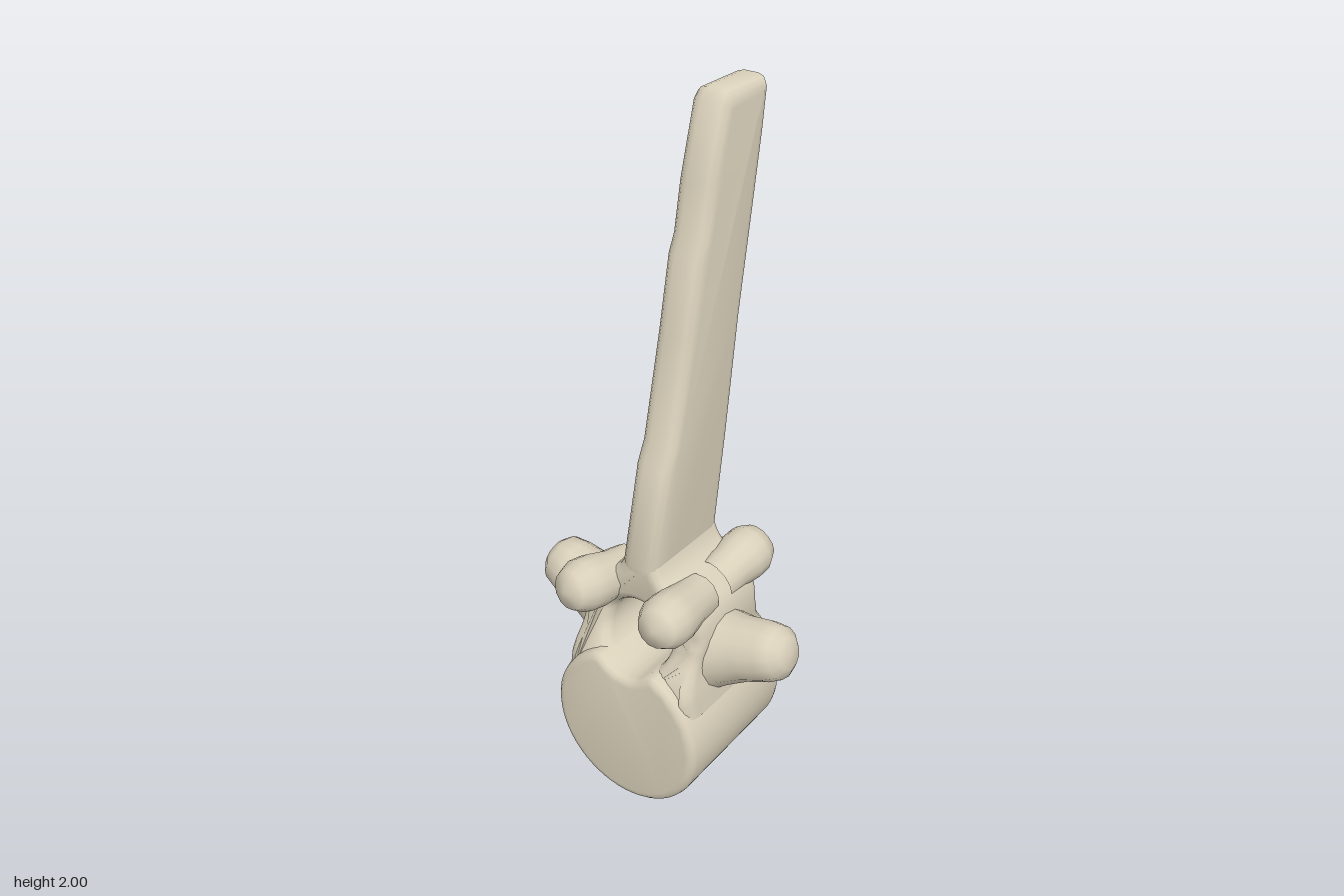
import * as THREE from 'three';
import { toCreasedNormals } from 'three/addons/utils/BufferGeometryUtils.js';

const bone = new THREE.MeshStandardMaterial({ color: 0xd9d0ba });
bone.name = 'bone';

const V = (x, y, z) => new THREE.Vector3(x, y, z);
const shapeOf = pts => new THREE.Shape(pts.map(([x, y]) => new THREE.Vector2(x, y)));

function add(group, name, geometry, crease = 1.1) {
  const mesh = new THREE.Mesh(toCreasedNormals(geometry, crease), bone);
  mesh.name = name;
  group.add(mesh);
}

// Extrusion with rounded rims that keeps the outline at its drawn size
function rounded(shape, depth, bevel, bevelDepth = bevel) {
  const g = new THREE.ExtrudeGeometry(shape, {
    depth: depth - 2 * bevelDepth, bevelEnabled: true, bevelSize: bevel,
    bevelThickness: bevelDepth, bevelOffset: -bevel, bevelSegments: 3, curveSegments: 24,
  });
  return g.translate(0, 0, bevelDepth - depth / 2);
}

// Apply a rule to every vertex
function reshape(g, rule) {
  const p = g.attributes.position, v = new THREE.Vector3();
  for (let i = 0; i < p.count; i++) {
    v.fromBufferAttribute(p, i);
    rule(v);
    p.setXYZ(i, v.x, v.y, v.z);
  }
  return g;
}

// Turned stub from a to b; profile holds [radius, fraction of length]
function stub(a, b, profile) {
  const dir = b.clone().sub(a), len = dir.length();
  const g = new THREE.LatheGeometry(profile.map(([r, t]) => new THREE.Vector2(r, t * len)), 14);
  g.applyQuaternion(new THREE.Quaternion().setFromUnitVectors(V(0, 1, 0), dir.normalize()));
  return g.translate(a.x, a.y, a.z);
}

// Linear lookup in [key, value] pairs
function lookup(table, k) {
  if (k <= table[0][0]) return table[0][1];
  for (let i = 1; i < table.length; i++) {
    const [k0, v0] = table[i - 1], [k1, v1] = table[i];
    if (k <= k1) return v0 + (v1 - v0) * (k - k0) / (k1 - k0);
  }
  return table[table.length - 1][1];
}

export function createModel() {
  const model = new THREE.Group();
  model.name = 'vertebra';
  const canalY = 0.537, canalR = 0.105;

  // Drum-shaped body, its top hollowed by the canal
  const outline = [];
  for (let i = 0; i < 56; i++) {
    const a = i / 56 * Math.PI * 2;
    const z = 0.243 * Math.cos(a);
    let y = 0.252 + 0.243 * Math.sin(a);
    if (y > 0.3 && Math.abs(z) < canalR) {
      y = Math.min(y, canalY - Math.sqrt(canalR ** 2 - z * z));
    }
    outline.push([z, y]);
  }
  const body = rounded(shapeOf(outline), 0.45, 0.025);
  body.rotateY(Math.PI / 2).translate(-0.045, 0, 0);
  reshape(body, v => {
    v.y += (v.x + 0.26) * 0.035 * (1 - v.y / 0.5) - 0.009 * (1 - v.y / 0.5);
  });
  add(model, 'body', body, 0.9);

  // Arch around the canal, flaring into the body and waisted above it
  const half = [[0.22, 0.36], [0.212, 0.42], [0.2, 0.5], [0.205, 0.58],
    [0.185, 0.65], [0.13, 0.7], [0.075, 0.74], [0.045, 0.8]];
  const side = new THREE.CatmullRomCurve3(half.map(([z, y]) => V(z, y, 0))).getPoints(28);
  const archShape = shapeOf([
    ...side.map(p => [p.x, p.y]),
    ...side.slice().reverse().map(p => [-p.x, p.y]),
  ]);
  const canal = new THREE.Path();
  canal.absarc(0, canalY, canalR, 0, Math.PI * 2, true);
  archShape.holes.push(canal);
  const archWidth = [[0.42, 0.215], [0.46, 0.2], [0.52, 0.16], [0.58, 0.142],
    [0.65, 0.155], [0.8, 0.155]];
  const arch = rounded(archShape, 2, 0.03, 0.2).rotateY(Math.PI / 2);
  reshape(arch, v => { v.x = -0.037 + v.x * lookup(archWidth, v.y); });
  add(model, 'arch', arch);

  // Long flat spine, leaning and tapering upward
  const spine = rounded(shapeOf([
    [-0.17, 0.66], [0.1, 0.66], [0.122, 0.8], [0.165, 1.05], [0.215, 1.38],
    [0.268, 1.66], [0.305, 1.86], [0.322, 1.975], [0.312, 2.0], [0.145, 2.0],
    [0.12, 1.975], [0.062, 1.78], [0.036, 1.65], [0.012, 1.6], [-0.03, 1.4],
    [-0.1, 1.11], [-0.13, 1.05], [-0.198, 0.77],
  ]), 0.113, 0.035);
  add(model, 'spine', spine, 0.8);

  // Paired processes on the front and back
  for (const s of [1, -1]) {
    const end = s > 0 ? 'front' : 'back';
    add(model, end + 'TransverseProcess', stub(
      V(-0.055, 0.485, 0.14 * s), V(-0.055, 0.575, 0.415 * s),
      [[0.135, 0], [0.11, 0.25], [0.092, 0.5], [0.085, 0.75], [0.074, 0.9], [0.045, 0.98], [0, 1]],
    ));
    const knob = [[0.068, 0], [0.068, 0.3], [0.077, 0.55], [0.076, 0.75], [0.056, 0.92], [0, 1]];
    add(model, end + 'RightArticularProcess', stub(
      V(-0.08, 0.655, 0.12 * s), V(-0.325, 0.697, 0.15 * s), knob));
    add(model, end + 'LeftArticularProcess', stub(
      V(0.0, 0.66, 0.12 * s), V(0.205, 0.705, 0.15 * s), knob));
  }
  return model;
}
